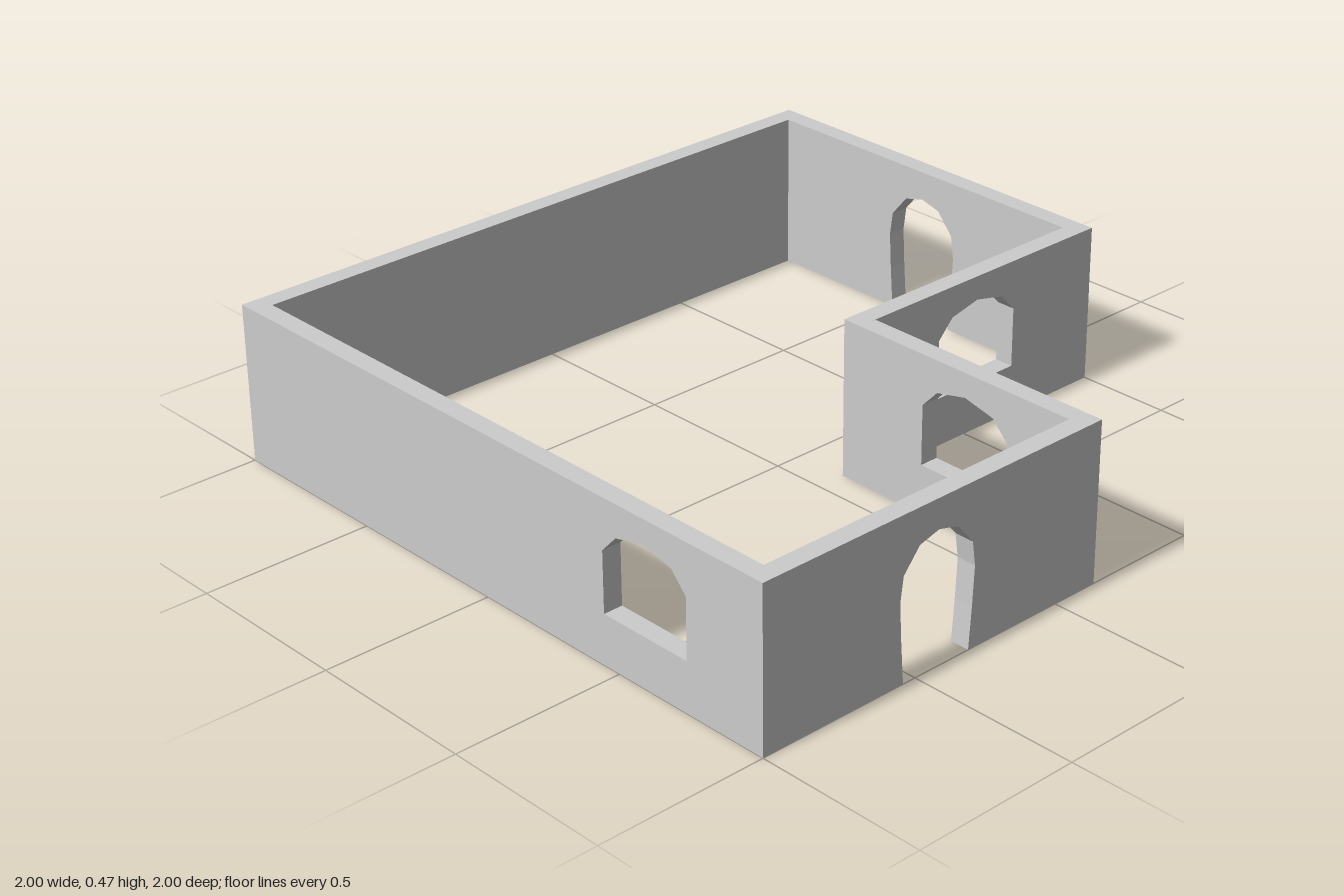
import * as THREE from 'three';

const H = 0.465; // wall height
const T = 0.057; // wall thickness

// Half-outlines: offset from the opening's centre line, height
const DOOR = [[0.113, 0], [0.122, 0.12], [0.128, 0.23], [0.118, 0.3], [0.065, 0.363], [0, 0.38]];
const WINDOW = [[0.147, 0.145], [0.147, 0.32], [0.097, 0.373], [0, 0.395]];

// Mirrors a half-outline into a full arch running from left to right
function arch(half, centre) {
  const left = half.map(([d, y]) => new THREE.Vector2(centre - d, y));
  const right = half.slice(0, -1).reverse().map(([d, y]) => new THREE.Vector2(centre + d, y));
  return [...left, ...right];
}

// Wall panel from a to b; a door notches the lower edge, a window is a hole
function wallGeometry({ a, b, door, window }) {
  const outline = [new THREE.Vector2(a, 0)];
  if (door !== undefined) outline.push(...arch(DOOR, door));
  outline.push(new THREE.Vector2(b, 0), new THREE.Vector2(b, H), new THREE.Vector2(a, H));
  const shape = new THREE.Shape(outline);
  if (window !== undefined) shape.holes.push(new THREE.Path(arch(WINDOW, window)));
  return new THREE.ExtrudeGeometry(shape, { depth: T, bevelEnabled: false });
}

export function createModel() {
  const group = new THREE.Group();
  group.name = 'courtyardWalls';
  const material = new THREE.MeshStandardMaterial({ color: 0xcccccc, flatShading: true });

  // Walls along x: min is the lower z face. Walls along z: min is the lower x face.
  const walls = [
    { name: 'backWall', axis: 'x', min: -1, a: -1, b: 1 },
    { name: 'frontWall', axis: 'x', min: 1 - T, a: -1, b: 0.145, door: -0.428 },
    { name: 'recessedFrontWall', axis: 'x', min: 0.217 - T, a: 0.145 - T, b: 1, window: 0.538 },
    { name: 'rightWall', axis: 'z', min: -1, a: -1 + T, b: 1 - T, window: 0.595 },
    { name: 'leftWall', axis: 'z', min: 1 - T, a: -1 + T, b: 0.217 - T, door: -0.381 },
    { name: 'recessedLeftWall', axis: 'z', min: 0.145 - T, a: 0.217, b: 1 - T, window: 0.595 },
  ];

  for (const wall of walls) {
    const mesh = new THREE.Mesh(wallGeometry(wall), material);
    mesh.name = wall.name;
    if (wall.axis === 'x') {
      mesh.position.z = wall.min;
    } else {
      mesh.rotation.y = -Math.PI / 2;
      mesh.position.x = wall.min + T;
    }
    group.add(mesh);
  }
  return group;
}
